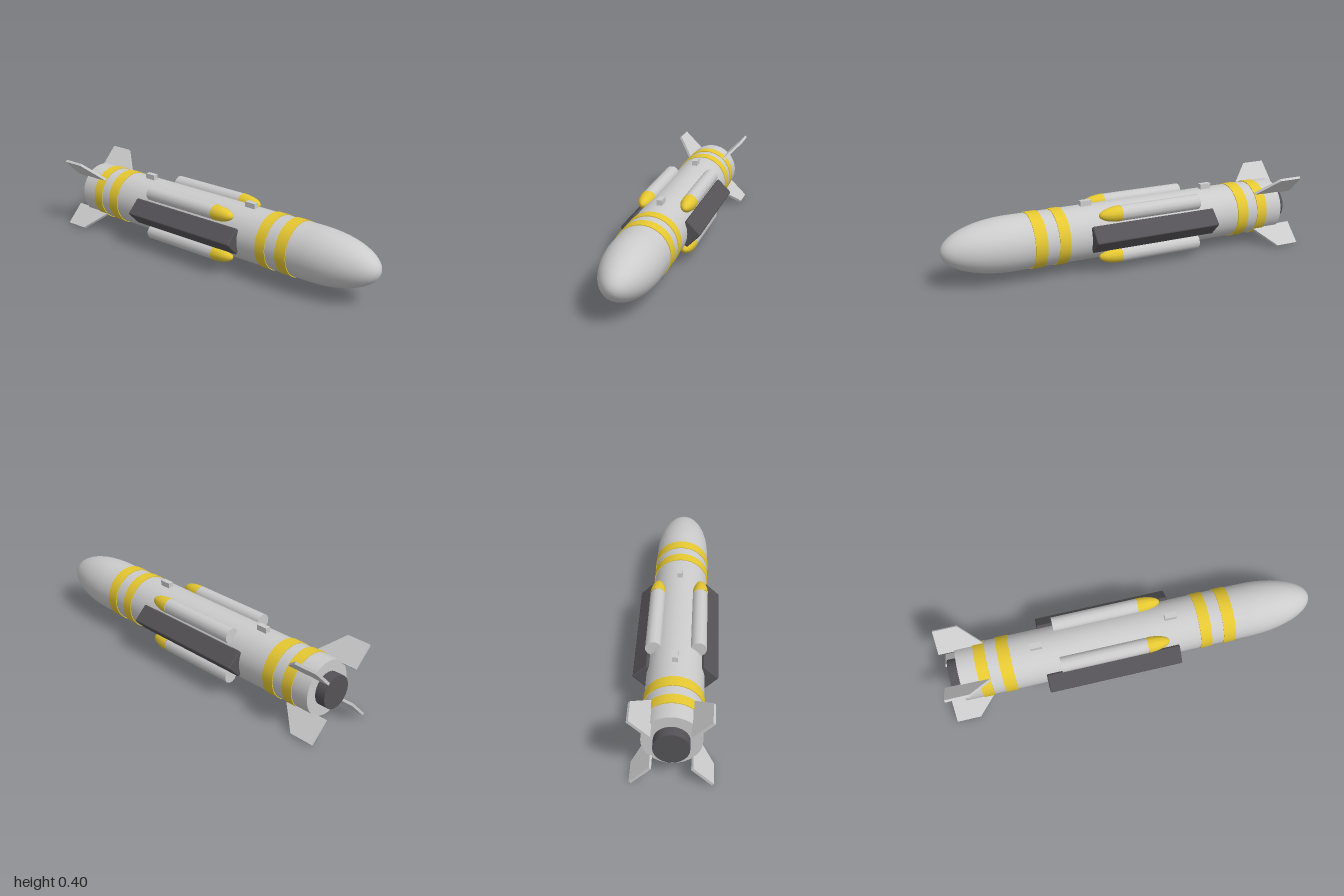
import * as THREE from 'three';
import { RoundedBoxGeometry } from 'three/addons/geometries/RoundedBoxGeometry.js';

const mat = (color) => new THREE.MeshStandardMaterial({ color });
const grey = mat(0xcccccc);
const yellow = mat(0xe6c832);
const dark = mat(0x545256);

function add(parent, name, geometry, material, x = 0, y = 0, z = 0) {
  const mesh = new THREE.Mesh(geometry, material);
  mesh.name = name;
  mesh.position.set(x, y, z);
  parent.add(mesh);
  return mesh;
}

// Closed cylinder lying along x from x0 to x1
function rod(parent, name, x0, x1, r, material, sides = 32) {
  const geo = new THREE.CylinderGeometry(r, r, x1 - x0, sides).rotateZ(-Math.PI / 2);
  return add(parent, name, geo, material, (x0 + x1) / 2);
}

// Half ellipsoid pointing along +x from x0 to x1
function dome(parent, name, x0, x1, r, material, sides = 32) {
  const geo = new THREE.SphereGeometry(1, sides, 16, 0, Math.PI * 2, 0, Math.PI / 2)
    .scale(r, x1 - x0, r).rotateZ(-Math.PI / 2);
  return add(parent, name, geo, material, x0);
}

export function createModel() {
  const model = new THREE.Group();
  model.name = 'missile';
  const hull = new THREE.Group();
  hull.name = 'hull';
  hull.position.y = 0.2;
  model.add(hull);

  // Main body, nose and tail nozzle
  rod(hull, 'body', -0.915, 0.64, 0.145, grey);
  dome(hull, 'nose', 0.64, 1, 0.145, grey);
  rod(hull, 'tailNozzle', -0.97, -0.91, 0.087, dark);

  // Painted rings
  for (const [a, b] of [[-0.82, -0.76], [-0.7, -0.635], [0.36, 0.42], [0.485, 0.55]]) {
    rod(hull, 'ring', a, b, 0.149, yellow);
  }

  // Mounting lugs on top
  for (const x of [-0.497, 0.22]) {
    add(hull, 'lug', new THREE.BoxGeometry(0.062, 0.04, 0.029), grey, x, 0.152, 0);
  }

  // Side rails: square bars turned on edge
  for (const side of [-1, 1]) {
    const rail = add(hull, 'sideRail', new RoundedBoxGeometry(0.715, 0.105, 0.105, 2, 0.008),
      dark, -0.117, 0, side * 0.142);
    rail.rotation.x = Math.PI / 4;
  }

  // Swept tail fin outline in the x / radius plane
  const outline = new THREE.Shape([[-1, 0.137], [-0.76, 0.137], [-0.762, 0.148], [-0.872, 0.273], [-1, 0.273]]
    .map(([x, r]) => new THREE.Vector2(x, r)));
  const finGeo = new THREE.ExtrudeGeometry(outline, { depth: 0.014, bevelEnabled: false })
    .translate(0, 0, -0.007);

  // Four diagonal quarters, each with a fin and a booster pod
  for (let i = 0; i < 4; i++) {
    const quarter = new THREE.Group();
    quarter.name = 'quarter';
    quarter.rotation.x = Math.PI / 4 + i * Math.PI / 2;
    hull.add(quarter);
    add(quarter, 'tailFin', finGeo, grey);

    const pod = new THREE.Group();
    pod.name = 'boosterPod';
    pod.position.y = 0.16;
    quarter.add(pod);
    rod(pod, 'podBody', -0.39, 0.07, 0.041, grey, 12);
    dome(pod, 'podNose', 0.07, 0.19, 0.042, yellow, 12);
  }
  return model;
}
